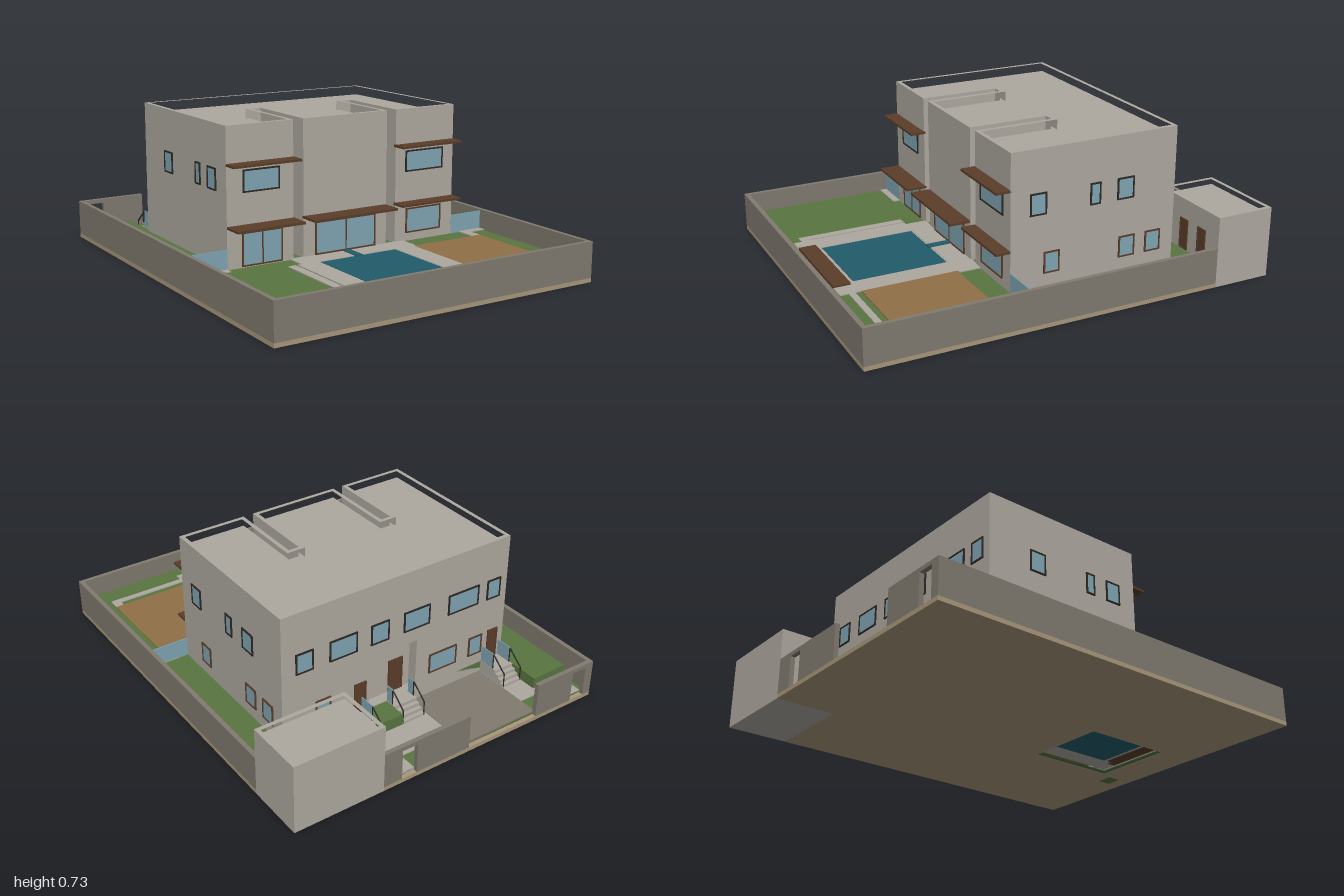
import * as THREE from 'three';

const flat = (name, color) => {
  const m = new THREE.MeshStandardMaterial({ color });
  m.name = name;
  return m;
};

export function createModel() {
  const root = new THREE.Group();
  root.name = 'villa';
  const stone = flat('stone', 0xaea89f), wallGrey = flat('wallGrey', 0x807a6f);
  const grass = flat('grass', 0x587540), sand = flat('sand', 0xa8977a);
  const court = flat('courtTan', 0x8f6f47), wood = flat('wood', 0x5b3d29);
  const water = flat('water', 0x215c6b), glass = flat('glass', 0x7fa5b2);
  const dark = flat('darkMetal', 0x2c2825);

  const add = (name, geo, mat, parent = root) => {
    const mesh = new THREE.Mesh(geo, mat);
    mesh.name = name;
    parent.add(mesh);
    return mesh;
  };
  // Box given by its limits along each axis
  const block = (name, mat, x0, x1, y0, y1, z0, z1, parent = root) => {
    const m = add(name, new THREE.BoxGeometry(x1 - x0, y1 - y0, z1 - z0), mat, parent);
    m.position.set((x0 + x1) / 2, (y0 + y1) / 2, (z0 + z1) / 2);
    return m;
  };
  // Plan outline of [x, z] points raised from y0 to y1, with optional holes
  const toPoints = pts => pts.map(([x, z]) => new THREE.Vector2(x, -z));
  const rect = (x0, x1, z0, z1) => [[x0, z0], [x1, z0], [x1, z1], [x0, z1]];
  const prism = (name, mat, pts, y0, y1, holes = []) => {
    const shape = new THREE.Shape(toPoints(pts));
    holes.forEach(h => shape.holes.push(new THREE.Path(toPoints(h))));
    const geo = new THREE.ExtrudeGeometry(shape, { depth: y1 - y0, bevelEnabled: false });
    geo.rotateX(-Math.PI / 2).translate(0, y0, 0);
    return add(name, geo, mat);
  };

  const G = 0.09, P = 0.095, LOW = 0.03;
  const poolHole = rect(-0.21, 0.205, 0.35, 0.81);

  // Base slab and the two garden levels
  prism('baseSlab', sand, [[-0.825, -1], [0.375, -1], [0.375, -0.71], [0.825, -0.71], [0.825, 1], [-0.825, 1]],
    0, 0.02, [poolHole, rect(0.22, 0.3, 0.86, 0.93)]);
  block('lowerLawn', grass, -0.805, 0.375, 0.02, LOW, -0.98, -0.6);
  prism('upperLawn', grass, [[-0.805, -0.85], [-0.61, -0.85], [-0.61, -0.6], [0.06, -0.6], [0.06, -0.72],
    [0.2, -0.72], [0.2, -0.6], [0.3, -0.6], [0.3, -0.85], [0.805, -0.85], [0.805, 0.98], [-0.805, 0.98]],
    0.02, G, [poolHole]);

  // Pool with a stone lining and a small channel
  prism('poolLining', stone, rect(-0.215, 0.21, 0.345, 0.815), 0.002, 0.093, [rect(-0.205, 0.2, 0.355, 0.805)]);
  block('poolWater', water, -0.208, 0.203, 0.075, 0.094, 0.352, 0.808);
  block('poolChannel', water, -0.02, 0.02, G, 0.098, 0.25, 0.36);

  // Perimeter wall with gates along the back
  const W = 0.19, T = 0.022;
  const wall = (x0, x1, z0, z1, y0 = 0.02, y1 = W) => block('gardenWall', wallGrey, x0, x1, y0, y1, z0, z1);
  wall(-0.825, 0.825, 1 - T, 1);
  wall(-0.825, -0.825 + T, -1, 1 - T);
  wall(0.825 - T, 0.825, -0.71, 1 - T);
  wall(-0.825 + T, -0.78, -1, -1 + T);
  wall(-0.78, -0.7, -1, -1 + T, 0.17);
  wall(-0.7, -0.485, -1, -1 + T);
  wall(-0.09, 0.2, -1, -1 + T);
  wall(0.2, 0.28, -1, -1 + T, 0.17);
  wall(0.28, 0.375, -1, -1 + T);

  // Drive and back paths
  block('driveway', wallGrey, -0.495, -0.08, 0.02, 0.036, -0.98, -0.6);
  [[-0.805, -0.495, -0.89, -0.85], [-0.78, -0.7, -0.98, -0.89], [-0.61, -0.495, -0.85, -0.6],
    [0.2, 0.28, -0.98, -0.89], [-0.08, 0.375, -0.89, -0.85], [-0.08, 0.3, -0.85, -0.72],
    [0.2, 0.3, -0.72, -0.6], [-0.08, 0.06, -0.72, -0.6]]
    .forEach(([x0, x1, z0, z1]) => block('backPath', stone, x0, x1, 0.02, 0.034, z0, z1));

  // Front paving
  [[-0.805, -0.62, 0.235, 0.275], [0.67, 0.805, 0.235, 0.275], [0.67, 0.715, 0.275, 0.35],
    [-0.3, 0.33, 0.235, 0.345], [-0.37, -0.33, 0.34, 0.87], [-0.32, -0.212, 0.34, 0.91],
    [-0.37, -0.32, 0.83, 0.87], [0.207, 0.315, 0.34, 0.91], [-0.212, 0.207, 0.812, 0.835],
    [0.315, 0.715, 0.84, 0.87], [0.675, 0.715, 0.81, 0.84]]
    .forEach(([x0, x1, z0, z1]) => block('frontPaving', stone, x0, x1, 0.08, P, z0, z1));
  block('playCourt', court, 0.315, 0.715, 0.08, P, 0.35, 0.81);
  block('woodDeck', wood, -0.235, 0.235, 0.08, 0.105, 0.83, 0.912);

  // House footprint with two light slots and an optional entrance recess
  const slots = (w, z, end) => [[0.255 + w, end], [0.255 + w, z], [0.255 - w, z], [0.255 - w, end],
    [-0.255 + w, end], [-0.255 + w, z], [-0.255 - w, z], [-0.255 - w, end]];
  const outer = [[-0.62, -0.6], [0.62, -0.6], [0.62, 0.24], ...slots(0.026, -0.145, 0.24), [-0.62, 0.24]];
  const inner = [[-0.6, -0.58], [0.6, -0.58], [0.6, 0.22], ...slots(0.046, -0.165, 0.22), [-0.6, 0.22]];
  const recessed = [outer[0], [-0.1, -0.6], [-0.1, -0.55], [0.16, -0.55], [0.16, -0.6], ...outer.slice(1)];
  prism('houseLower', stone, recessed, 0.02, 0.36);
  prism('houseUpper', stone, outer, 0.36, 0.685);
  prism('houseParapet', stone, outer, 0.685, 0.733, [inner]);
  block('entranceFloor', stone, -0.1, 0.16, 0.03, P, -0.6, -0.55);

  // Windows and doors as thin plates, placed on a face by direction
  const faces = { front: [0, 0.24], back: [Math.PI, -0.6], left: [Math.PI / 2, 0.62], right: [-Math.PI / 2, -0.62] };
  const opening = (name, side, a, b, y0, y1, { fill = glass, mullion = null, plane = faces[side][1], trim = wood } = {}) => {
    const g = new THREE.Group(), w = Math.abs(b - a), h = y1 - y0, f = 0.007, mid = (a + b) / 2;
    g.name = name;
    block('pane', fill, -w / 2 + f, w / 2 - f, f, h - f, -0.002, 0.003, g);
    const bar = (x0, x1, v0, v1) => block('frame', trim, x0, x1, v0, v1, -0.002, 0.006, g);
    bar(-w / 2, w / 2, 0, f);
    bar(-w / 2, w / 2, h - f, h);
    bar(-w / 2, -w / 2 + f, f, h - f);
    bar(w / 2 - f, w / 2, f, h - f);
    if (mullion !== null) bar(mullion - mid - 0.003, mullion - mid + 0.003, f, h - f);
    g.rotation.y = faces[side][0];
    if (side === 'front' || side === 'back') g.position.set(mid, y0, plane);
    else g.position.set(plane, y0, mid);
    root.add(g);
  };
  const upper = (side, list) => list.forEach(([a, b]) => opening('upperWindow', side, a, b, 0.43, 0.533, { trim: dark }));
  upper('front', [[-0.54, -0.353], [0.337, 0.557]]);
  upper('left', [[0.065, 0.147], [-0.207, -0.153], [-0.38, -0.293]]);
  upper('right', [[0.065, 0.147], [-0.055, -0.005], [-0.38, -0.293]]);
  upper('back', [[0.46, 0.55], [0.232, 0.378], [0.061, 0.159], [-0.166, -0.02], [-0.45, -0.272], [-0.58, -0.5]]);
  opening('terraceDoor', 'front', -0.547, -0.34, P, 0.252, { mullion: -0.443 });
  opening('terraceDoor', 'front', -0.167, 0.165, P, 0.252, { mullion: 0 });
  opening('groundWindow', 'front', 0.343, 0.55, 0.13, 0.252);
  [[-0.002, 0.077], [-0.392, -0.308], [-0.53, -0.448]]
    .forEach(([a, b]) => opening('groundWindow', 'left', a, b, 0.15, 0.252));
  [[0.37, 0.45], [-0.337, -0.175], [-0.49, -0.41]]
    .forEach(([a, b]) => opening('groundWindow', 'back', a, b, 0.15, 0.252));
  [[0.18, 0.245], [-0.585, -0.525]]
    .forEach(([a, b]) => opening('backDoor', 'back', a, b, P, 0.255, { fill: wood }));
  opening('entranceDoor', 'back', -0.06, 0.02, P, 0.265, { fill: wood, plane: -0.55 });

  // Wooden canopies over the front openings
  [[-0.62, -0.277, 0.275, 0.34], [-0.23, 0.225, 0.275, 0.34], [0.275, 0.62, 0.275, 0.31],
    [-0.62, -0.277, 0.555, 0.31], [0.275, 0.62, 0.555, 0.31]]
    .forEach(([x0, x1, y, z]) => block('canopy', wood, x0, x1, y, y + 0.011, 0.235, z));

  // Outbuilding in the back corner
  const shed = rect(0.375, 0.825, -1, -0.71);
  prism('outbuilding', stone, shed, 0, 0.305);
  prism('outbuildingParapet', stone, shed, 0.305, 0.34, [rect(0.395, 0.805, -0.98, -0.73)]);
  [[0.535, 0.595], [0.67, 0.73]]
    .forEach(([a, b]) => opening('outbuildingDoor', 'front', a, b, P, 0.245, { fill: wood, plane: -0.71 }));

  // Back stairs with landing, handrails and glass guards
  const stair = (x0, x1, z0, z1) => {
    const g = new THREE.Group(), n = 4, rise = (P - LOW) / n, run = (z1 - z0) / n;
    g.name = 'backStair';
    for (let i = 0; i < n; i++) block('step', stone, x0, x1, 0.02, LOW + rise * (i + 1), z0 + run * i, z1, g);
    block('landing', stone, x0, x1, 0.02, P, z1, -0.6, g);
    for (const x of [x0 + 0.003, x1 - 0.003]) {
      block('railPost', dark, x - 0.002, x + 0.002, LOW, LOW + 0.075, z0, z0 + 0.004, g);
      block('railPost', dark, x - 0.002, x + 0.002, P, P + 0.075, z1, z1 + 0.004, g);
      const dy = P - LOW, dz = z1 - z0;
      const rail = add('handrail', new THREE.BoxGeometry(0.005, 0.005, Math.hypot(dy, dz)), dark, g);
      rail.position.set(x, (P + LOW) / 2 + 0.075, (z0 + z1) / 2);
      rail.rotation.x = -Math.atan2(dy, dz);
      block('glassGuard', glass, x - 0.002, x + 0.002, P, P + 0.08, z1 + 0.004, -0.6, g);
    }
    root.add(g);
  };
  stair(-0.605, -0.498, -0.765, -0.685);
  stair(-0.065, 0.06, -0.72, -0.64);
  stair(0.2, 0.3, -0.765, -0.685);

  // Glass fences between the house and the side walls
  for (const s of [-1, 1]) {
    const x0 = Math.min(s * 0.62, s * 0.803), x1 = Math.max(s * 0.62, s * 0.803);
    block('glassFence', glass, x0, x1, G, 0.183, 0.236, 0.241);
  }
  return root;
}
